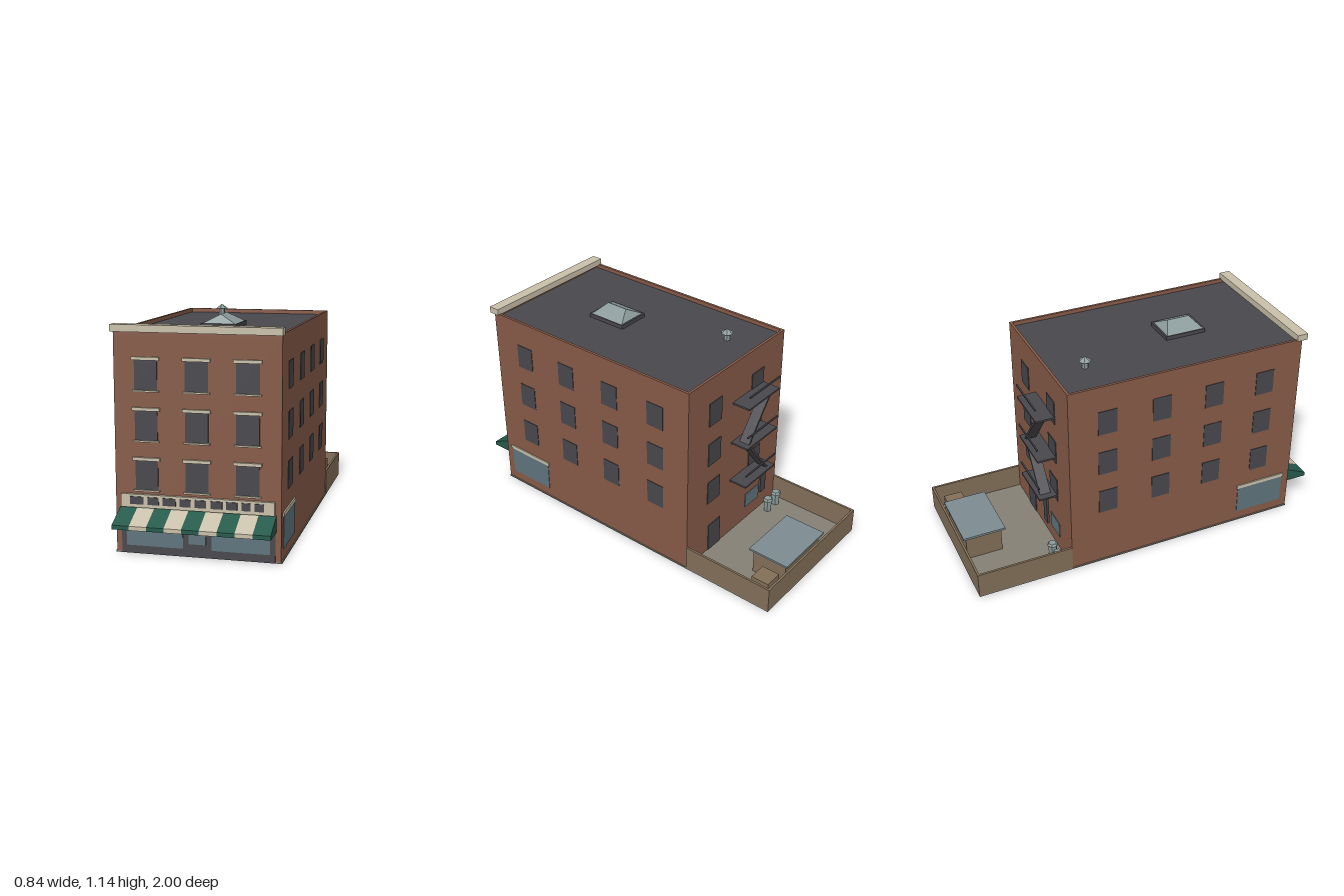
import * as THREE from 'three';

const mat = (name, color) => {
  const m = new THREE.MeshStandardMaterial({ color });
  m.name = name;
  return m;
};

export function createModel() {
  const brick = mat('brick', 0x875b49), cream = mat('cream', 0xc9c0aa), dark = mat('charcoal', 0x48474c);
  const green = mat('awning green', 0x255a4c), glass = mat('shop glass', 0x5f747d), metal = mat('pale metal', 0x8b9a9a);
  const tan = mat('tan timber', 0x826f58), concrete = mat('concrete', 0x858074), canopyBlue = mat('canopy blue', 0x7d8c91);

  const model = new THREE.Group();
  model.name = 'cornerShopBuilding';

  const add = (name, geo, material, parent = model) => {
    const mesh = new THREE.Mesh(geo, material);
    mesh.name = name;
    parent.add(mesh);
    return mesh;
  };
  const group = (name) => {
    const g = new THREE.Group();
    g.name = name;
    model.add(g);
    return g;
  };
  // Box given by its extents
  const box = (name, material, x0, x1, y0, y1, z0, z1, parent) => {
    const m = add(name, new THREE.BoxGeometry(x1 - x0, y1 - y0, z1 - z0), material, parent);
    m.position.set((x0 + x1) / 2, (y0 + y1) / 2, (z0 + z1) / 2);
    return m;
  };

  const W = 0.413, FRONT = 0.865, BACK = -0.473, ROOF = 1.078, TOP = 1.1;

  // Ground slab, main block and flat roof
  box('groundSlab', concrete, -0.418, 0.418, 0, 0.008, -0.999, FRONT);
  box('mainBlock', brick, -W, W, 0.008, ROOF - 0.004, BACK, FRONT);
  box('roofDeck', dark, -W + 0.012, W - 0.012, ROOF - 0.004, ROOF, BACK + 0.012, FRONT - 0.012);

  // Parapet and cornice
  const parapet = group('parapet');
  for (const s of [-1, 1]) {
    const a = s * W, b = s * (W - 0.014);
    box('sideParapet', brick, Math.min(a, b), Math.max(a, b), ROOF - 0.004, TOP, BACK, FRONT, parapet);
  }
  box('backParapet', brick, -W + 0.014, W - 0.014, ROOF - 0.004, TOP, BACK, BACK + 0.014, parapet);
  box('frontParapet', brick, -W + 0.014, W - 0.014, ROOF - 0.004, TOP, FRONT - 0.014, FRONT, parapet);
  box('cornice', cream, -0.42, 0.42, 1.095, 1.13, 0.832, 0.893);

  // Front windows with lintels and sills
  const frontWindows = group('frontWindows');
  for (const x of [-0.252, 0, 0.25]) {
    for (const y of [0.325, 0.57, 0.815]) {
      box('windowPane', dark, x - 0.057, x + 0.057, y, y + 0.145, FRONT, FRONT + 0.004, frontWindows);
      box('lintel', cream, x - 0.069, x + 0.069, y + 0.145, y + 0.161, FRONT - 0.005, FRONT + 0.012, frontWindows);
      box('sill', cream, x - 0.066, x + 0.066, y - 0.008, y, FRONT - 0.005, FRONT + 0.012, frontWindows);
    }
  }

  // Side windows and side shop windows, mirrored
  const levels = [0.33, 0.575, 0.82];
  for (const s of [-1, 1]) {
    const side = group(s > 0 ? 'leftSideWindows' : 'rightSideWindows');
    const plate = (name, m, z0, z1, y0, y1, t) =>
      box(name, m, Math.min(s * (W - 0.002), s * (W + t)), Math.max(s * (W - 0.002), s * (W + t)), y0, y1, z0, z1, side);
    for (const z of [0.652, 0.35, 0.046, -0.26])
      for (const y of levels) plate('sideWindow', dark, z - 0.053, z + 0.053, y, y + 0.137, 0.003);
    plate('sideShopWindow', glass, 0.535, 0.82, 0.06, 0.222, 0.003);
    plate('sideShopLintel', cream, 0.528, 0.827, 0.222, 0.243, 0.007);
  }

  // Back windows, door and small pane
  const rear = group('rearOpenings');
  const rearPlate = (name, m, x, w, y0, y1) => box(name, m, x - w / 2, x + w / 2, y0, y1, BACK - 0.004, BACK, rear);
  for (const x of [-0.18, 0.19]) for (const y of levels) rearPlate('rearWindow', dark, x, 0.105, y, y + 0.137);
  rearPlate('rearDoor', dark, 0.175, 0.105, 0.008, 0.175);
  rearPlate('rearPane', glass, -0.18, 0.125, 0.09, 0.18);

  // Shop front
  const shop = group('shopFront');
  box('shopPanel', dark, -0.385, 0.385, 0.002, 0.235, FRONT, FRONT + 0.004, shop);
  for (const [x0, x1, y0] of [[-0.36, -0.073, 0.042], [0.071, 0.36, 0.042], [-0.043, 0.042, 0.067]])
    box('shopWindow', glass, x0, x1, y0, 0.2, FRONT + 0.004, FRONT + 0.007, shop);

  // Sign board with dark panels
  box('signBoard', cream, -0.383, 0.383, 0.237, 0.303, FRONT, FRONT + 0.015, shop);
  for (const [x0, x1] of [[-0.335, -0.267], [-0.246, -0.19], [-0.17, -0.104], [-0.083, -0.03], [-0.008, 0.048],
    [0.071, 0.128], [0.147, 0.202], [0.222, 0.266], [0.286, 0.332]])
    box('signPanel', dark, x0, x1, 0.254, 0.292, FRONT + 0.015, FRONT + 0.019, shop);

  // Striped awning: one wedge profile extruded per stripe
  const awning = group('awning');
  const profile = new THREE.Shape([[FRONT, 0.155], [1, 0.155], [1, 0.176], [FRONT, 0.237]].map((p) => new THREE.Vector2(...p)));
  const stripeW = 0.78 / 9;
  for (let i = 0; i < 9; i++) {
    const geo = new THREE.ExtrudeGeometry(profile, { depth: stripeW, bevelEnabled: false });
    geo.rotateY(-Math.PI / 2);
    add('awningStripe', geo, i % 2 ? cream : green, awning).position.x = -0.39 + (i + 1) * stripeW;
  }

  // Skylight: curb and hipped glass
  const skylight = group('skylight');
  box('skylightCurb', dark, -0.093, 0.093, ROOF, TOP, 0.225, 0.457, skylight);
  const hip = new THREE.BoxGeometry(0.17, 0.045, 0.212);
  const p = hip.attributes.position;
  for (let i = 0; i < p.count; i++)
    if (p.getY(i) > 0) p.setXYZ(i, 0, p.getY(i), Math.sign(p.getZ(i)) * 0.063);
  const hipFlat = hip.toNonIndexed();
  hipFlat.computeVertexNormals();
  add('skylightGlass', hipFlat, metal, skylight).position.set(0, TOP + 0.0225, 0.341);

  // Six-sided upright parts: roof vent and bins
  const hex = (name, rt, rb, x, y0, y1, z, parent) => {
    const geo = new THREE.CylinderGeometry(rt, rb, y1 - y0, 6).toNonIndexed();
    geo.computeVertexNormals();
    add(name, geo, metal, parent).position.set(x, (y0 + y1) / 2, z);
  };
  const vent = group('roofVent');
  hex('ventPipe', 0.018, 0.018, -0.17, ROOF, 1.12, -0.275, vent);
  hex('ventCap', 0.001, 0.035, -0.17, 1.118, 1.143, -0.275, vent);
  const bins = group('bins');
  for (const x of [-0.35, -0.27]) {
    hex('binBody', 0.026, 0.022, x, 0.008, 0.08, -0.53, bins);
    hex('binLid', 0.022, 0.031, x, 0.08, 0.092, -0.53, bins);
  }

  // Rear yard: walls, shed with canopy, crate
  const yard = group('rearYard');
  box('yardBackWall', tan, -0.418, 0.418, 0.008, 0.145, -1, -0.988, yard);
  box('yardWall', tan, -0.418, -0.406, 0.008, 0.145, -0.988, BACK, yard);
  box('yardWall', tan, 0.406, 0.418, 0.008, 0.145, -0.988, BACK, yard);
  box('shed', tan, -0.11, 0.215, 0.008, 0.15, -0.965, -0.765, yard);
  box('shedCanopy', canopyBlue, -0.127, 0.23, 0.15, 0.162, -0.982, -0.745, yard);
  box('crate', tan, 0.25, 0.352, 0.008, 0.11, -0.95, -0.848, yard);

  // Fire escape: platforms, rails, zigzag flights and drop ladder
  const escape = group('fireEscape');
  const decks = [0.367, 0.614, 0.861];
  for (const y of decks) {
    box('platform', dark, -0.233, 0.04, y - 0.005, y + 0.005, -0.578, BACK, escape);
    box('rail', dark, -0.233, 0.04, y + 0.07, y + 0.078, -0.58, -0.572, escape);
  }
  const flight = (xLow, yLow, xHigh, yHigh) => {
    const dx = xHigh - xLow, dy = yHigh - yLow;
    const m = add('stairFlight', new THREE.BoxGeometry(Math.hypot(dx, dy), 0.012, 0.06), dark, escape);
    m.position.set((xLow + xHigh) / 2, (yLow + yHigh) / 2, -0.53);
    m.rotation.z = Math.atan2(dy, dx);
  };
  flight(-0.19, decks[0], 0, decks[1]);
  flight(0, decks[1], -0.19, decks[2]);
  box('dropLadder', dark, -0.22, -0.172, 0.19, decks[0], -0.535, -0.523, escape);

  return model;
}
